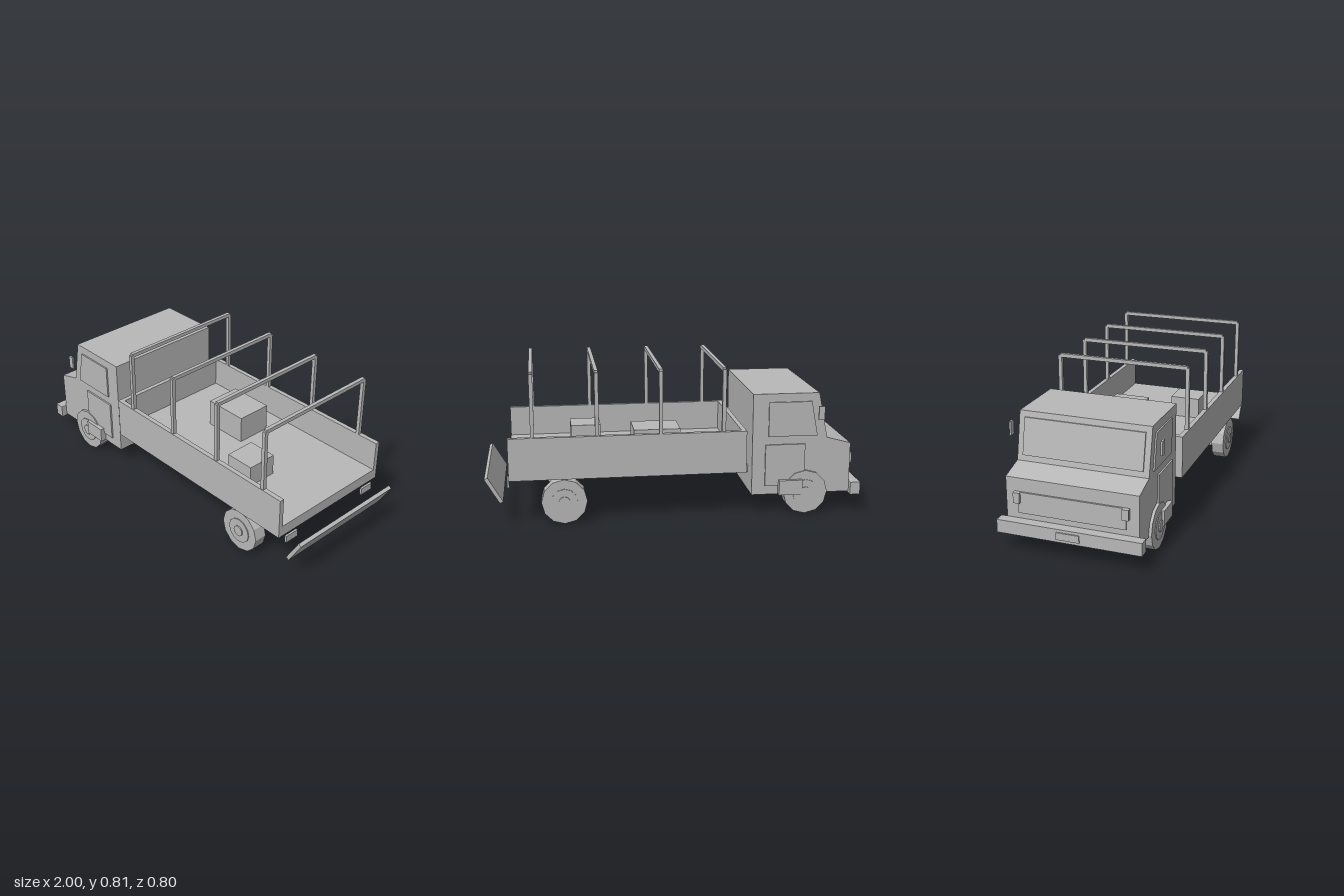
import * as THREE from 'three';

export function createModel() {
  const truck = new THREE.Group();
  truck.name = 'flatbedTruck';
  const grey = new THREE.MeshStandardMaterial({ color: 0xb8b8b8, flatShading: true });
  grey.name = 'plainGrey';

  function add(name, geometry, x = 0, y = 0, z = 0) {
    const mesh = new THREE.Mesh(geometry, grey);
    mesh.name = name;
    mesh.position.set(x, y, z);
    truck.add(mesh);
    return mesh;
  }
  // Box given by its lower and upper limits on each axis
  function box(name, x0, x1, y0, y1, z0, z1) {
    return add(name, new THREE.BoxGeometry(x1 - x0, y1 - y0, z1 - z0),
      (x0 + x1) / 2, (y0 + y1) / 2, (z0 + z1) / 2);
  }
  // Side outline extruded across z
  function slab(name, points, z0, z1) {
    const shape = new THREE.Shape(points.map(([x, y]) => new THREE.Vector2(x, y)));
    const geometry = new THREE.ExtrudeGeometry(shape, { depth: z1 - z0, bevelEnabled: false });
    return add(name, geometry, 0, 0, z0);
  }
  // Pair of boxes mirrored in z
  function pair(name, x0, x1, y0, y1, z0, z1) {
    box(name, x0, x1, y0, y1, z0, z1);
    box(name, x0, x1, y0, y1, -z1, -z0);
  }

  // Cab, facing -x
  slab('cab', [[-0.94, 0.11], [-0.405, 0.11], [-0.405, 0.66], [-0.76, 0.66],
    [-0.81, 0.415], [-0.94, 0.38]], -0.345, 0.345);
  slab('windshield', [[-0.804, 0.445], [-0.767, 0.63], [-0.774, 0.63], [-0.811, 0.445]], -0.315, 0.315);
  box('grille', -0.95, -0.94, 0.2, 0.31, -0.28, 0.28);
  pair('headlight', -0.965, -0.94, 0.255, 0.31, 0.265, 0.298);
  box('frontBumper', -0.994, -0.94, 0.1, 0.168, -0.377, 0.377);
  box('numberPlate', -1, -0.994, 0.115, 0.153, -0.06, 0.06);

  // Door panels, side windows, mirrors and steps
  for (const s of [-1, 1]) {
    const z = s > 0 ? 0.345 : -0.353;
    slab('sideWindow', [[-0.755, 0.43], [-0.49, 0.43], [-0.49, 0.615], [-0.72, 0.615]], z, z + 0.008);
  }
  pair('doorPanel', -0.69, -0.475, 0.16, 0.385, 0.345, 0.354);
  pair('mirror', -0.777, -0.745, 0.525, 0.598, 0.39, 0.4);
  pair('step', -0.676, -0.548, 0.112, 0.192, 0.345, 0.378);

  // Chassis
  pair('frameRail', -0.405, 0.83, 0.205, 0.245, 0.2, 0.24);
  pair('tailLight', 0.872, 0.884, 0.197, 0.236, 0.245, 0.325);

  // Open cargo bed
  box('bedFloor', -0.37, 0.873, 0.245, 0.305, -0.345, 0.345);
  pair('bedSide', -0.37, 0.873, 0.245, 0.47, 0.345, 0.37);
  box('bedFrontWall', -0.37, -0.345, 0.305, 0.47, -0.345, 0.345);
  box('largeCrate', -0.04, 0.21, 0.305, 0.455, -0.215, -0.017);
  box('smallCrate', 0.37, 0.535, 0.305, 0.42, 0.065, 0.232);

  // Tailgate hanging open
  add('tailgate', new THREE.BoxGeometry(0.02, 0.152, 0.69), 0.952, 0.191).rotation.z = -Math.PI / 6;

  // Canopy hoops
  for (const x of [-0.248, 0.083, 0.415, 0.745]) {
    pair('hoopPost', x - 0.01, x + 0.01, 0.47, 0.8, 0.345, 0.365);
    box('hoopBar', x - 0.01, x + 0.01, 0.79, 0.81, -0.355, 0.355);
  }

  // Axles and wheels with rim and hub discs
  for (const x of [-0.695, 0.59]) {
    box('axle', x - 0.045, x + 0.045, 0.075, 0.165, -0.29, 0.29);
    for (const s of [-1, 1]) {
      for (const [name, radius, inner, outer] of [['tyre', 0.12, 0.29, 0.36],
        ['rim', 0.07, 0.35, 0.365], ['hub', 0.03, 0.35, 0.371]]) {
        const disc = new THREE.CylinderGeometry(radius, radius, outer - inner, 12);
        add(name, disc, x, 0.12, s * (inner + outer) / 2).rotation.x = Math.PI / 2;
      }
    }
  }
  return truck;
}
